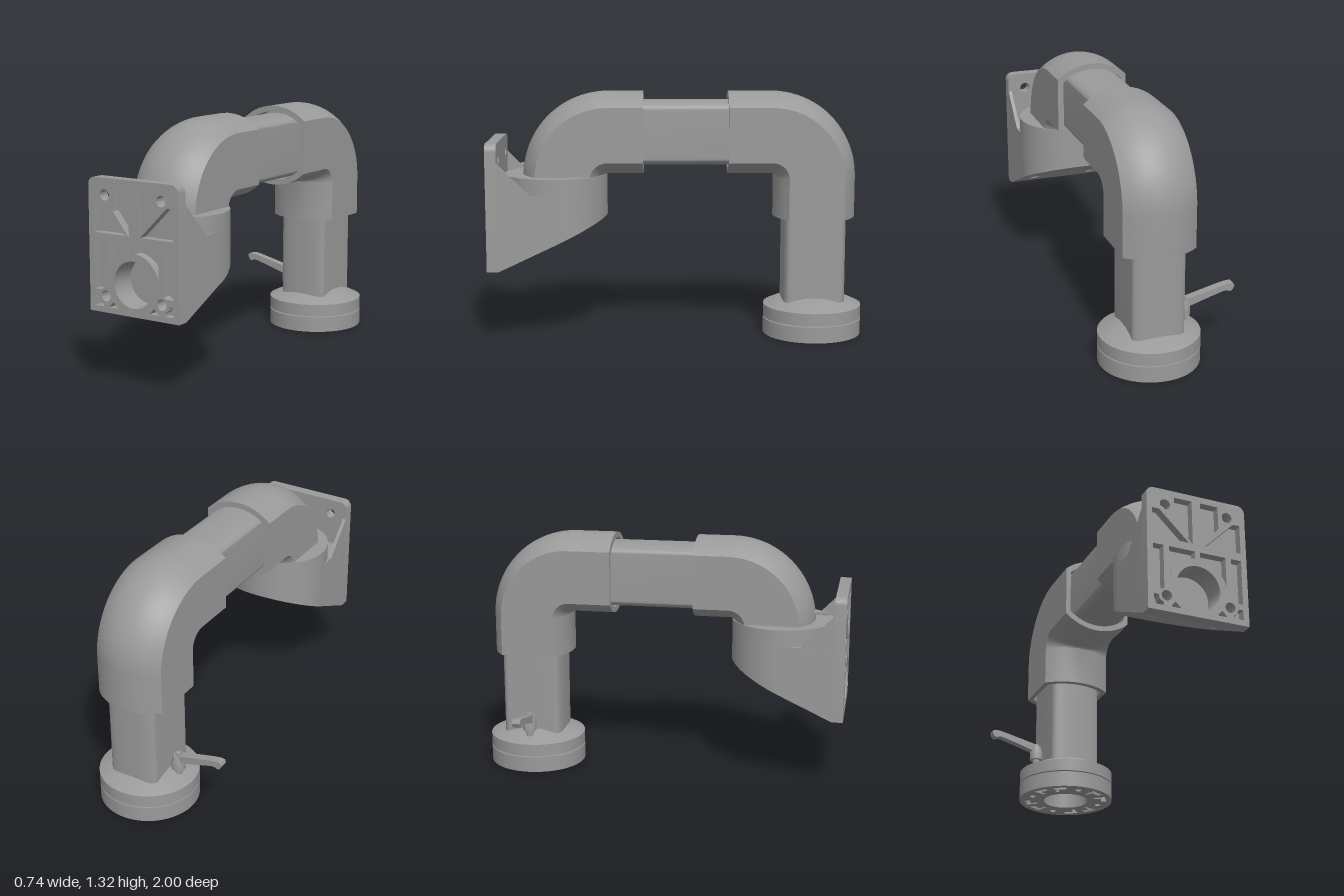
import * as THREE from 'three';
import { toCreasedNormals } from 'three/addons/utils/BufferGeometryUtils.js';

const grey = new THREE.MeshStandardMaterial({ color: 0x9a9a9a });
grey.name = 'grey metal';

const part = (parent, name, geometry) => {
  const mesh = new THREE.Mesh(toCreasedNormals(geometry, 0.5), grey);
  mesh.name = name;
  parent.add(mesh);
  return mesh;
};
const extrude = (shape, depth) =>
  new THREE.ExtrudeGeometry(shape, { depth, bevelEnabled: false, curveSegments: 24 });
const polygon = (pts, Type = THREE.Shape) => new Type(pts.map(([x, y]) => new THREE.Vector2(x, y)));
const hole = (x, y, rx, ry = rx) => new THREE.Path().absellipse(x, y, rx, ry, 0, Math.PI * 2);

// Underside slope of the wall bracket
const SLOPE = 0.474;
const underside = z => 0.39 + (0.94 - z) * SLOPE;

// Flat-sided sleeve section with arched top and bottom
function sleeveSection() {
  const hw = 0.1925, hh = 0.22, sag = 0.075, n = 12;
  const r = (hw * hw + sag * sag) / (2 * sag), half = Math.asin(hw / r), pts = [];
  for (const s of [1, -1])
    for (let i = 0; i <= n; i++) {
      const a = half - (2 * half * i) / n;
      pts.push([s * r * Math.sin(a), s * (hh - r + r * Math.cos(a))]);
    }
  return pts;
}

// Hollow-mouthed elbow: runs along +z, then bends down
function elbowGeometry(startZ, bendZ, endY) {
  const R = 0.235, axisY = 1.1, bendY = axisY - R, recess = 0.07, q = Math.PI / 2;
  const rings = [
    [axisY, startZ + recess, 0, 0], [axisY, startZ + recess, 0, 0.86],
    [axisY, startZ, 0, 0.86], [axisY, startZ, 0, 1],
  ];
  for (let i = 0; i <= 20; i++) {
    const a = (q * i) / 20;
    rings.push([bendY + R * Math.cos(a), bendZ + R * Math.sin(a), a, 1]);
  }
  const z = bendZ + R;
  rings.push([endY, z, q, 1], [endY, z, q, 0.86], [endY + recess, z, q, 0.86], [endY + recess, z, q, 0]);

  const section = sleeveSection(), n = section.length, pos = [], idx = [];
  rings.forEach(([y, zc, a, s], i) => section.forEach(([u, v], j) => {
    pos.push(u * s, y + v * s * Math.cos(a), zc + v * s * Math.sin(a));
    if (i === rings.length - 1) return;
    const k = (j + 1) % n, p = i * n, o = p + n;
    idx.push(p + j, p + k, o + k, p + j, o + k, o + j);
  }));
  const g = new THREE.BufferGeometry();
  g.setAttribute('position', new THREE.Float32BufferAttribute(pos, 3));
  g.setIndex(idx);
  return g;
}

// Softly rounded inner tube section
function tubeShape() {
  const w = 0.14, h = 0.172, e = 0.13, s = new THREE.Shape();
  s.moveTo(w, -e);
  s.lineTo(w, e);
  s.bezierCurveTo(w, 0.16, 0.09, h, 0, h);
  s.bezierCurveTo(-0.09, h, -w, 0.16, -w, e);
  s.lineTo(-w, -e);
  s.bezierCurveTo(-w, -0.16, -0.09, -h, 0, -h);
  s.bezierCurveTo(0.09, -h, w, -0.16, w, -e);
  return s;
}

function plateShape() {
  const w = 0.2725, b = 0.39, t = 1.065, r = 0.04, s = new THREE.Shape();
  s.moveTo(-w, b);
  s.lineTo(w, b);
  s.lineTo(w, t - r);
  s.absarc(w - r, t - r, r, 0, Math.PI / 2);
  s.absarc(-w + r, t - r, r, Math.PI / 2, Math.PI);
  s.closePath();
  for (const x of [-0.172, 0.172]) s.holes.push(hole(x, 0.475, 0.028), hole(x, 0.98, 0.028));
  s.holes.push(hole(0, 0.55, 0.118));
  return s;
}

function addBracket(parent) {
  const bracket = new THREE.Group();
  bracket.name = 'wallBracket';
  parent.add(bracket);

  // Mounting plate: solid backing and a ribbed face
  part(bracket, 'plateBack', extrude(plateShape(), 0.015).translate(0, 0, 0.94));
  const face = plateShape();
  const arc = [];
  for (let i = 0; i <= 10; i++) {
    const a = 1.66 + (i / 10) * 1.27;
    arc.push([0.158 * Math.cos(a), 0.55 + 0.158 * Math.sin(a)]);
  }
  const pockets = [
    [[-0.242, 0.948], [-0.205, 0.948], [-0.045, 0.79], [-0.242, 0.79]],
    [[-0.122, 1.03], [-0.024, 1.03], [-0.024, 0.79], [-0.03, 0.79], [-0.122, 0.905]],
    [[-0.242, 0.748], [-0.185, 0.748], [-0.185, 0.515], [-0.197, 0.505], [-0.242, 0.505]],
    [[-0.154, 0.748], [-0.014, 0.748], ...arc],
    [[-0.242, 0.474], [-0.215, 0.474], [-0.21, 0.45], [-0.188, 0.435], [-0.188, 0.42], [-0.242, 0.42]],
    [[-0.152, 0.42], [-0.126, 0.45], [-0.097, 0.42]],
  ];
  for (const p of pockets)
    for (const s of [1, -1]) face.holes.push(polygon(p.map(([x, y]) => [x * s, y]), THREE.Path));
  part(bracket, 'plateFace', extrude(face, 0.045).translate(0, 0, 0.955));

  // Body: round at the back, straight to the plate, cut off by the sloped underside
  const w = 0.2725, d = new THREE.Shape();
  d.moveTo(-w, -0.94);
  d.lineTo(w, -0.94);
  d.lineTo(w, -0.65);
  d.absarc(0, -0.65, 0.275, 0, Math.PI);
  d.closePath();
  for (const x of [-0.172, 0.172]) d.holes.push(hole(x, -0.761, 0.028, 0.028 / SLOPE));
  const body = extrude(d, 1).rotateX(-Math.PI / 2), bp = body.attributes.position;
  const kept = [];
  for (let i = 0; i < bp.count; i++) bp.setY(i, bp.getY(i) < 0.5 ? underside(bp.getZ(i)) : 0.79);
  for (let i = 0; i < bp.count; i += 3) {
    // Leave the side against the plate open for the screw holes
    if (Math.min(bp.getZ(i), bp.getZ(i + 1), bp.getZ(i + 2)) < 0.939) kept.push(i, i + 1, i + 2);
  }
  body.setIndex(kept);
  part(bracket, 'bracketBody', body);
  part(bracket, 'bracketSeat', new THREE.CylinderGeometry(0.275, 0.275, 0.09, 64).translate(0, 0.835, 0.65));

  // Side cheeks bracing the plate
  const cheek = polygon([[-0.94, 0.79], [-0.77, 0.79], [-0.94, 0.965]]);
  for (const x of [-0.2725, 0.2525])
    part(bracket, 'cheek', extrude(cheek, 0.02).rotateY(Math.PI / 2).translate(x, 0, 0));

  // Inward-facing linings of the screw holes and the large round recess
  for (const x of [-0.172, 0.172]) {
    const g = new THREE.CylinderGeometry(0.028, 0.028, 1, 24, 1, true)
      .rotateX(Math.PI / 2).scale(-1, 1, 1).translate(x, 0.475, 0);
    const p = g.attributes.position;
    for (let i = 0; i < p.count; i++)
      p.setZ(i, p.getZ(i) > 0 ? 0.945 : 0.94 - (p.getY(i) - 0.39) / SLOPE);
    part(bracket, 'screwHole', g);
  }
  part(bracket, 'roundRecess', new THREE.CylinderGeometry(0.118, 0.118, 0.08, 48)
    .rotateX(Math.PI / 2).scale(-1, 1, 1).translate(0, 0.55, 0.91));

  // Pointer tongue under the front elbow
  const tongue = polygon([[-0.08, -0.77], [0, -0.77], [0, -0.895]]);
  part(bracket, 'pointer', extrude(tongue, 0.015).rotateX(-Math.PI / 2)
    .rotateX(0.2).translate(0, 0.085 + 0.99, 0.02).translate(0, 0, 0));
  bracket.children.at(-1).geometry.translate(0, 0.005, 0);
}

function addBase(parent) {
  const base = new THREE.Group();
  base.name = 'swivelBase';
  base.position.z = -0.735;
  parent.add(base);

  // Turned body with a groove, a sloped shoulder and a bore from below
  const profile = [[0, 0.2], [0.125, 0.2], [0.125, 0.03], [0.265, 0.03], [0.265, 0.086], [0.22, 0.086],
    [0.22, 0.092], [0.265, 0.092], [0.265, 0.16], [0.145, 0.215], [0, 0.215]];
  part(base, 'baseBody', new THREE.LatheGeometry(profile.map(p => new THREE.Vector2(...p)), 64));

  // Slotted foot ring
  const ring = new THREE.Shape().absarc(0, 0, 0.265, 0, Math.PI * 2);
  ring.holes.push(hole(0, 0, 0.125));
  for (let i = 0; i < 12; i++) {
    const a = (i * Math.PI) / 6, at = (r, b) => [r * Math.cos(a + b), r * Math.sin(a + b)];
    if (i % 3 === 0) ring.holes.push(hole(...at(0.2, 0), 0.018));
    else ring.holes.push(polygon([at(0.165, -0.16), at(0.235, -0.17), at(0.235, 0.17), at(0.205, 0.17),
      at(0.205, -0.06), at(0.165, -0.06)], THREE.Path));
  }
  part(base, 'footRing', extrude(ring, 0.03).rotateX(-Math.PI / 2));

  // Clamping lever
  const lever = new THREE.Group();
  lever.name = 'clampLever';
  base.add(lever);
  const stem = [[0, 0.18], [0.021, 0.18], [0.021, 0.22], [0.037, 0.22], [0.037, 0.265], [0.026, 0.302],
    [0.015, 0.302], [0.015, 0.316], [0, 0.316]];
  part(lever, 'leverHub', new THREE.LatheGeometry(stem.map(p => new THREE.Vector2(...p)), 24))
    .position.x = -0.185;
  const handle = polygon([[-0.46, 0.345], [-0.45, 0.325], [-0.438, 0.318], [-0.42, 0.325], [-0.4, 0.325],
    [-0.3, 0.296], [-0.2, 0.265], [-0.19, 0.3], [-0.2, 0.31], [-0.395, 0.357], [-0.435, 0.363], [-0.455, 0.36]]);
  part(lever, 'leverHandle', extrude(handle, 0.045).translate(0, 0, -0.0225));
}

export function createModel() {
  const model = new THREE.Group();
  model.name = 'suspensionArm';
  const arm = new THREE.Group();
  arm.name = 'arm';
  arm.position.x = 0.0925;
  model.add(arm);

  addBracket(arm);
  addBase(arm);

  // Elbows and the tubes that join them
  part(arm, 'frontElbow', elbowGeometry(0.18, 0.37, 0.86));
  part(arm, 'rearElbow', elbowGeometry(0.27, 0.5, 0.65)).rotation.y = Math.PI;
  part(arm, 'crossTube', extrude(tubeShape(), 0.65).translate(0, 1.1, -0.37));
  part(arm, 'uprightTube', extrude(tubeShape(), 0.56).rotateX(-Math.PI / 2).translate(0, 0.19, -0.735));
  return model;
}
